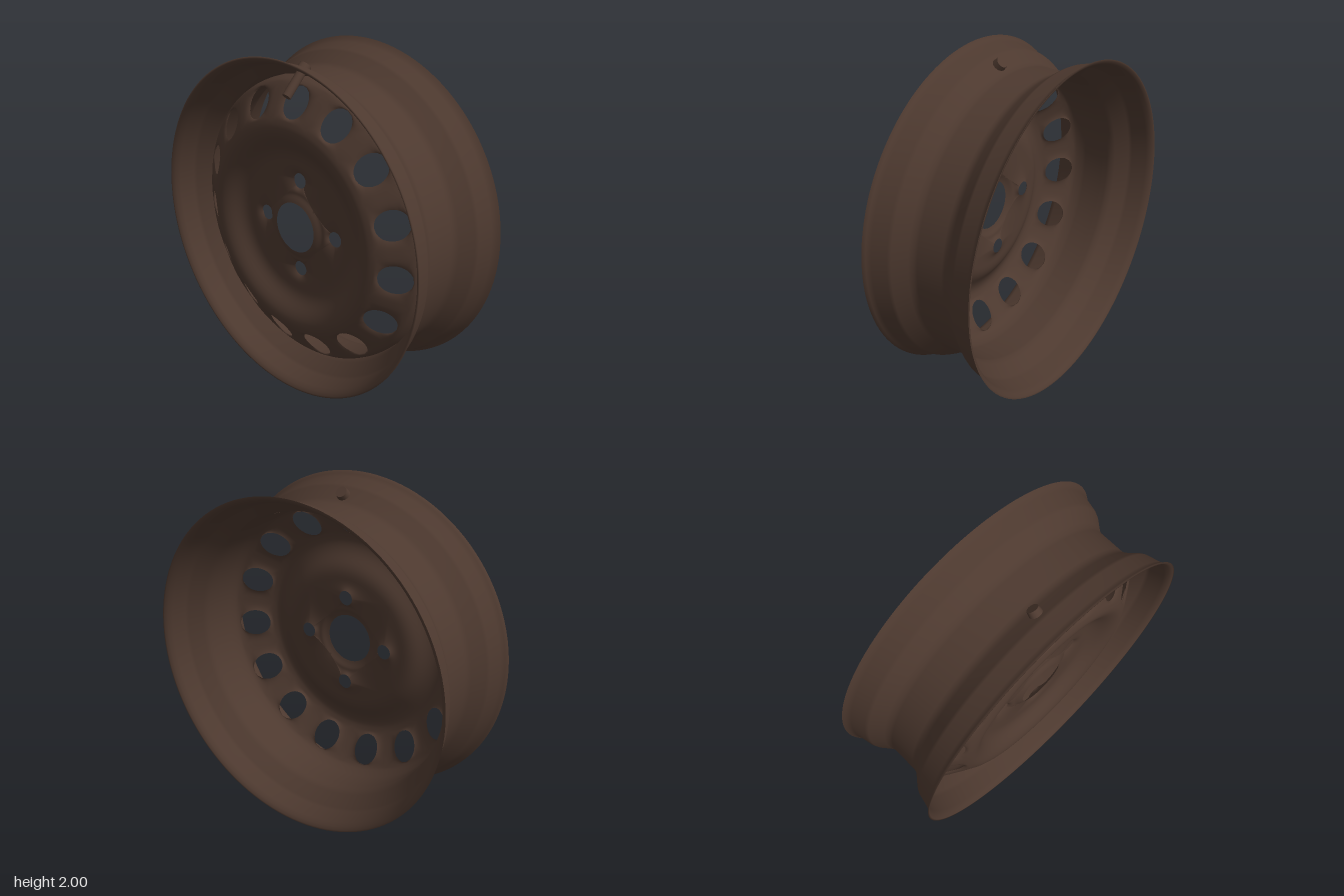
import * as THREE from 'three';
import { mergeVertices } from 'three/addons/utils/BufferGeometryUtils.js';

const SEG = 120; // segments around the wheel

// Face of the disc: radius -> depth, joined by a smooth curve
const FACE = [[0.15, 0.232], [0.168, 0.226], [0.2, 0.212], [0.4, 0.21], [0.46, 0.225], [0.54, 0.275],
  [0.6, 0.29], [0.66, 0.27], [0.735, 0.225], [0.82, 0.168], [0.843, 0.14], [0.855, 0.1]];

function faceDepth(r) {
  let i = 0;
  while (i < FACE.length - 2 && r > FACE[i + 1][0]) i++;
  const slope = (k) => {
    const a = FACE[Math.max(k - 1, 0)], b = FACE[Math.min(k + 1, FACE.length - 1)];
    return (b[1] - a[1]) / (b[0] - a[0]);
  };
  const [r0, z0] = FACE[i], [r1, z1] = FACE[i + 1];
  const w = r1 - r0, t = THREE.MathUtils.clamp((r - r0) / w, 0, 1), u = 1 - t;
  return z0 * (1 + 2 * t) * u * u + slope(i) * w * t * u * u
    + z1 * t * t * (3 - 2 * t) - slope(i + 1) * w * t * t * u;
}

const polar = (r, a) => new THREE.Vector2(r * Math.cos(a), r * Math.sin(a));

function discGeometry() {
  const pos = [], index = [];

  // Adds a grid of points; rows run outwards, columns anticlockwise
  function addGrid(rows, cols, point) {
    const base = pos.length / 3;
    for (let i = 0; i <= rows; i++)
      for (let j = 0; j <= cols; j++) pos.push(...point(i, j));
    for (let i = 0; i < rows; i++)
      for (let j = 0; j < cols; j++) {
        const a = base + i * (cols + 1) + j, b = a + cols + 1;
        index.push(a, b, b + 1, a, b + 1, a + 1);
      }
  }

  // Plain ring through a list of [radius, depth]
  function addRing(profile) {
    addGrid(profile.length - 1, SEG, (i, j) => {
      const p = polar(profile[i][0], ((j % SEG) / SEG) * Math.PI * 2);
      return [p.x, p.y, profile[i][1]];
    });
  }

  function addFaceRing(rIn, rOut, steps) {
    addRing(Array.from({ length: steps + 1 }, (_, i) => {
      const r = rIn + (rOut - rIn) * i / steps;
      return [r, faceDepth(r)];
    }));
  }

  // Ring pierced by evenly spaced round holes, each with a pressed-in edge
  function addHoleRing(count, rIn, rOut, rHole, size, dip, rows) {
    const half = Math.PI / count, arc = SEG / count, side = 6;
    for (let h = 0; h < count; h++) {
      const mid = Math.PI / 2 + h * 2 * half;
      const centre = polar(rHole, mid);
      const edge = [];
      for (let k = 0; k < side; k++) edge.push(polar(rIn + (rOut - rIn) * k / side, mid - half));
      for (let k = 0; k < arc; k++) edge.push(polar(rOut, mid - half + 2 * half * k / arc));
      for (let k = 0; k < side; k++) edge.push(polar(rOut - (rOut - rIn) * k / side, mid + half));
      for (let k = 0; k < arc; k++) edge.push(polar(rIn, mid + half - 2 * half * k / arc));
      addGrid(rows, edge.length, (i, j) => {
        const s = (i / rows) ** 1.5, outer = edge[j % edge.length];
        const p = outer.clone().sub(centre).setLength(size).add(centre).lerp(outer, s);
        return [p.x, p.y, faceDepth(p.length()) - dip * (1 - s) ** 4];
      });
    }
  }

  addFaceRing(0.15, 0.19, 4);
  addHoleRing(4, 0.19, 0.4, 0.276, 0.045, 0.02, 8);
  addFaceRing(0.4, 0.64, 12);
  addHoleRing(15, 0.64, 0.832, 0.737, 0.084, 0.012, 5);
  addFaceRing(0.832, 0.855, 4);
  addRing([[0.855, 0.1], [0.857, 0.08], [0.857, -0.05]]); // flange inside the barrel

  const geo = new THREE.BufferGeometry();
  geo.setAttribute('position', new THREE.Float32BufferAttribute(pos, 3));
  geo.setIndex(index);
  const merged = mergeVertices(geo, 1e-4);
  merged.computeVertexNormals();
  return merged;
}

// Hollow barrel: outer profile, then back along the inside
function barrelGeometry() {
  const outer = [[1.0, -0.35], [0.985, -0.335], [0.97, -0.31], [0.95, -0.22], [0.94, -0.2], [0.885, -0.13],
    [0.874, -0.1], [0.872, -0.08], [0.872, 0.08], [0.874, 0.1], [0.885, 0.13], [0.94, 0.2], [0.95, 0.22],
    [0.97, 0.31], [0.985, 0.335], [1.0, 0.35]];
  const inner = outer.map(([r, z]) => [r - 0.011, z]).reverse();
  const points = [...outer, ...inner, outer[0]].map(([r, z]) => new THREE.Vector2(r, z));
  return new THREE.LatheGeometry(points, SEG).rotateX(Math.PI / 2);
}

export function createModel() {
  const steel = new THREE.MeshStandardMaterial({ color: 0x4d392f, side: THREE.DoubleSide });
  steel.name = 'dark brown steel';
  const model = new THREE.Group();
  model.name = 'wheelRim';

  const add = (name, geometry, parent = model) => {
    const mesh = new THREE.Mesh(geometry, steel);
    mesh.name = name;
    parent.add(mesh);
    return mesh;
  };

  add('barrel', barrelGeometry()).position.y = 1;
  add('disc', discGeometry()).position.y = 1;

  // Valve, leaning through the slope of the barrel
  const valve = new THREE.Group();
  valve.name = 'valve';
  valve.position.set(0, 1.925, 0.14);
  valve.rotation.x = -Math.PI / 4;
  model.add(valve);
  add('valveStem', new THREE.CylinderGeometry(0.026, 0.026, 0.2, 16), valve).position.y = -0.1;
  add('valveHead', new THREE.CylinderGeometry(0.034, 0.04, 0.045, 16), valve).position.y = -0.015;

  return model;
}
